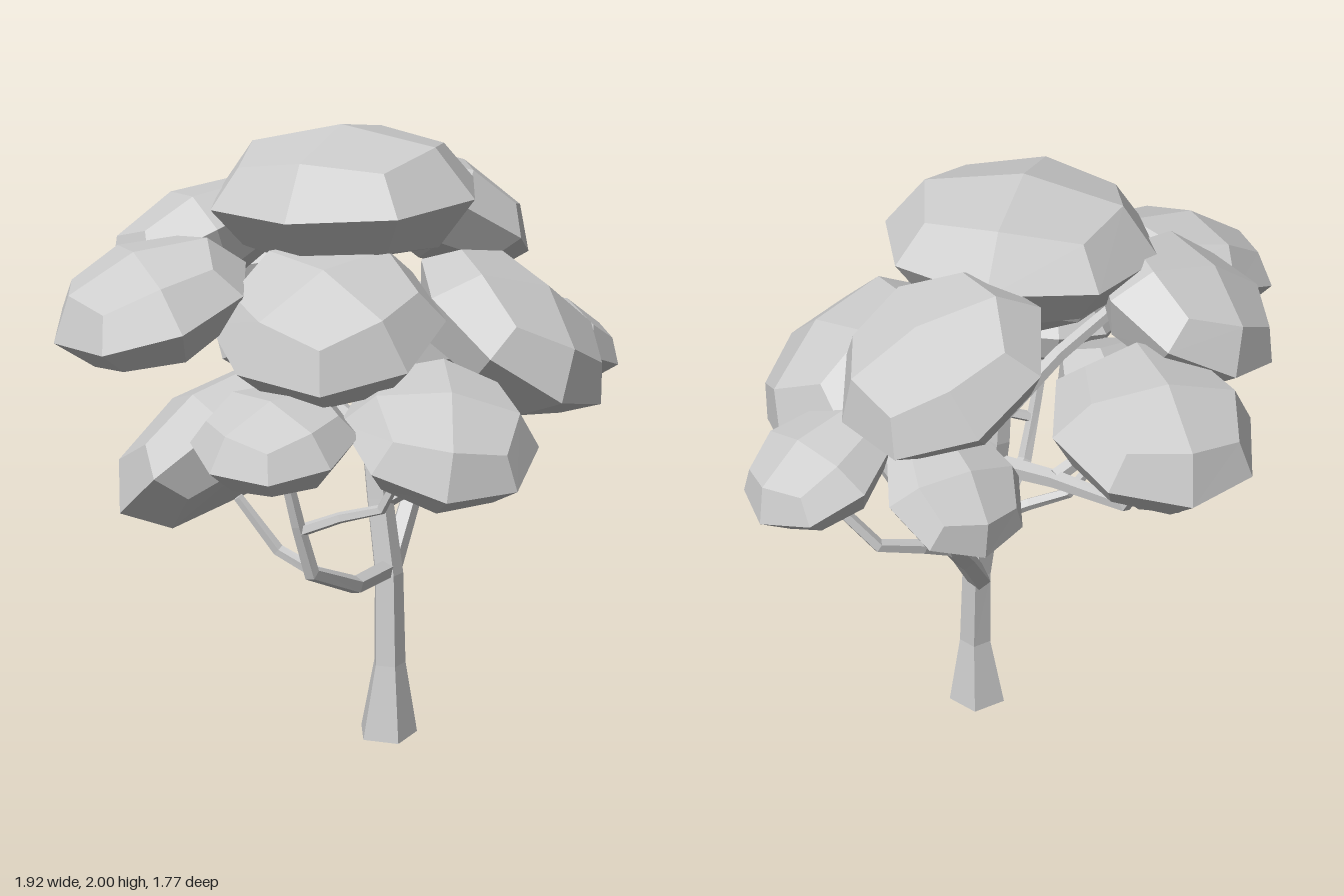
import * as THREE from 'three';

const leafMaterial = new THREE.MeshStandardMaterial({ color: 0xcccccc, flatShading: true });
const barkMaterial = new THREE.MeshStandardMaterial({ color: 0xcccccc, flatShading: true });
const V = (p) => new THREE.Vector3(p[0], p[1], p[2]);

// Faceted, five-sided limb through points [x, y, z, radius], closed at both ends
function limb(name, points, sides = 5) {
  const pos = [], index = [];
  const n = points.length;
  const q = new THREE.Quaternion();
  const last = new THREE.Vector3(0, 1, 0);
  points.forEach((p, i) => {
    const dir = V(points[Math.min(i + 1, n - 1)]).sub(V(points[Math.max(i - 1, 0)])).normalize();
    if (i === 0 && name === 'trunk') dir.set(0, 1, 0);
    q.premultiply(new THREE.Quaternion().setFromUnitVectors(last, dir));
    last.copy(dir);
    for (let j = 0; j < sides; j++) {
      const a = (j / sides) * Math.PI * 2;
      const v = new THREE.Vector3(Math.sin(a), 0, Math.cos(a)).multiplyScalar(p[3]).applyQuaternion(q).add(V(p));
      pos.push(v.x, v.y, v.z);
    }
  });
  for (let i = 0; i < n - 1; i++) {
    for (let j = 0; j < sides; j++) {
      const a = i * sides + j, b = i * sides + ((j + 1) % sides);
      index.push(a, b, b + sides, a, b + sides, a + sides);
    }
  }
  const top = (n - 1) * sides;
  for (let j = 1; j < sides - 1; j++) {
    index.push(0, j + 1, j, top, top + j, top + j + 1);
  }
  const geometry = new THREE.BufferGeometry();
  geometry.setAttribute('position', new THREE.Float32BufferAttribute(pos, 3));
  geometry.setIndex(index);
  geometry.computeVertexNormals();
  const mesh = new THREE.Mesh(geometry, barkMaterial);
  mesh.name = name;
  return mesh;
}

// Leaf cluster: a box of 2 x 2 panels per side with its edges and corners drawn in, keeping panels flat
const leafGeometry = new THREE.BoxGeometry(2, 2, 2, 2, 2, 2);
const leafPoints = leafGeometry.attributes.position;
for (let i = 0; i < leafPoints.count; i++) {
  const p = new THREE.Vector3().fromBufferAttribute(leafPoints, i);
  const pull = [1, 0.715, 0.556][Math.round(p.lengthSq()) - 1];
  leafPoints.setXYZ(i, p.x * pull, p.y * pull, p.z * pull);
}
leafGeometry.computeVertexNormals();

function leafCluster(name, centre, radius, height, normal, yaw) {
  const mesh = new THREE.Mesh(leafGeometry, leafMaterial);
  mesh.name = name;
  mesh.position.copy(V(centre));
  mesh.scale.set(radius, height, radius);
  mesh.quaternion.setFromUnitVectors(new THREE.Vector3(0, 1, 0), V(normal).normalize());
  mesh.quaternion.multiply(new THREE.Quaternion().setFromAxisAngle(new THREE.Vector3(0, 1, 0), yaw));
  return mesh;
}

export function createModel() {
  const tree = new THREE.Group();
  tree.name = 'tree';

  // Trunk with a flared foot, leaning slightly back
  const wood = new THREE.Group();
  wood.name = 'wood';
  wood.add(limb('trunk', [
    [0.08, 0, 0.17, 0.1], [0.085, 0.25, 0.17, 0.055], [0.09, 0.55, 0.145, 0.05],
    [0.075, 0.8, 0.1, 0.045], [0.06, 1.1, 0.05, 0.04], [0.04, 1.4, 0.05, 0.035], [0, 1.68, 0.04, 0.025],
  ]));

  // Branches, each listed from root to tip
  const branches = {
    rightBackBranch: [[0.09, 0.52, 0.13, 0.04], [0.22, 0.72, 0, 0.036], [0.33, 0.87, -0.12, 0.032], [0.4, 1.02, -0.2, 0.026], [0.4, 1.17, -0.24, 0.02]],
    rightBranch: [[0.31, 0.85, -0.1, 0.027], [0.44, 0.92, -0.13, 0.024], [0.59, 0.97, -0.12, 0.022], [0.67, 1.08, -0.07, 0.02], [0.73, 1.2, -0.04, 0.016]],
    rightFrontBranch: [[0.07, 0.78, 0.1, 0.035], [0.22, 0.85, 0.11, 0.032], [0.35, 0.93, 0.14, 0.028], [0.42, 1.08, 0.2, 0.025], [0.44, 1.3, 0.27, 0.02]],
    leftFrontBranch: [[0.09, 0.57, 0.15, 0.032], [-0.09, 0.6, 0.32, 0.03], [-0.28, 0.71, 0.44, 0.026], [-0.33, 0.88, 0.46, 0.022], [-0.39, 1.12, 0.48, 0.018]],
    frontTwig: [[-0.32, 0.86, 0.46, 0.02], [-0.21, 0.9, 0.5, 0.018], [-0.11, 0.94, 0.58, 0.017], [-0.06, 1.08, 0.63, 0.014]],
    leftTwig: [[-0.1, 0.61, 0.32, 0.024], [-0.2, 0.64, 0.28, 0.022], [-0.3, 0.7, 0.19, 0.02], [-0.41, 0.87, 0.13, 0.016]],
    backBranch: [[0.06, 1.0, 0.06, 0.036], [0, 1.06, -0.2, 0.03], [-0.06, 1.11, -0.5, 0.024], [-0.09, 1.3, -0.6, 0.018]],
    leftBackBranch: [[0, 1.07, -0.2, 0.026], [-0.2, 1.15, -0.2, 0.023], [-0.35, 1.25, -0.15, 0.02], [-0.4, 1.5, -0.2, 0.016]],
    leftUpperBranch: [[0.06, 1.16, 0.06, 0.03], [-0.2, 1.31, 0.1, 0.026], [-0.46, 1.43, 0.12, 0.022], [-0.62, 1.5, 0.12, 0.018]],
    frontUpperBranch: [[0.05, 1.16, 0.06, 0.028], [-0.08, 1.25, 0.2, 0.024], [-0.18, 1.34, 0.32, 0.02], [-0.2, 1.46, 0.36, 0.016]],
    rightUpperBranch: [[0.045, 1.32, 0.05, 0.03], [0.2, 1.36, -0.1, 0.026], [0.38, 1.4, -0.24, 0.022], [0.44, 1.6, -0.28, 0.018]],
  };
  for (const [name, points] of Object.entries(branches)) wood.add(limb(name, points));
  tree.add(wood);

  // Leaf clusters: centre, radius, half height, direction the top faces, turn
  const foliage = new THREE.Group();
  foliage.name = 'foliage';
  const clusters = {
    topCluster: [[-0.02, 1.785, 0.04], 0.43, 0.215, [-0.05, 1, 0], Math.PI / 4],
    leftUpperCluster: [[-0.67, 1.515, 0.12], 0.315, 0.17, [-0.3, 0.9, 0.08], 0],
    frontUpperCluster: [[-0.2, 1.47, 0.365], 0.35, 0.19, [-0.18, 0.9, 0.33], 0.36],
    frontLowerCluster: [[0.06, 1.165, 0.62], 0.3, 0.165, [0.03, 0.87, 0.4], -0.3],
    rightFrontCluster: [[0.435, 1.365, 0.3], 0.355, 0.19, [0.48, 0.78, 0.32], 0.17],
    rightCluster: [[0.74, 1.245, -0.03], 0.24, 0.13, [0.4, 0.87, 0.02], 0.18],
    rightBackUpperCluster: [[0.45, 1.64, -0.29], 0.33, 0.18, [0.48, 0.85, -0.1], -0.25],
    backCluster: [[-0.09, 1.415, -0.59], 0.32, 0.18, [-0.04, 0.92, -0.3], -0.2],
    leftBackCluster: [[-0.4, 1.595, -0.3], 0.31, 0.175, [-0.35, 0.85, -0.3], 0],
    leftLowerCluster: [[-0.465, 1.01, 0.02], 0.355, 0.19, [-0.48, 0.74, -0.48], 0],
    leftFrontCluster: [[-0.42, 1.175, 0.515], 0.245, 0.13, [-0.15, 0.93, 0.2], 0.37],
    rightBackLowerCluster: [[0.39, 1.17, -0.25], 0.23, 0.13, [-0.1, 0.8, -0.55], 0],
  };
  for (const [name, args] of Object.entries(clusters)) foliage.add(leafCluster(name, ...args));
  tree.add(foliage);

  return tree;
}
